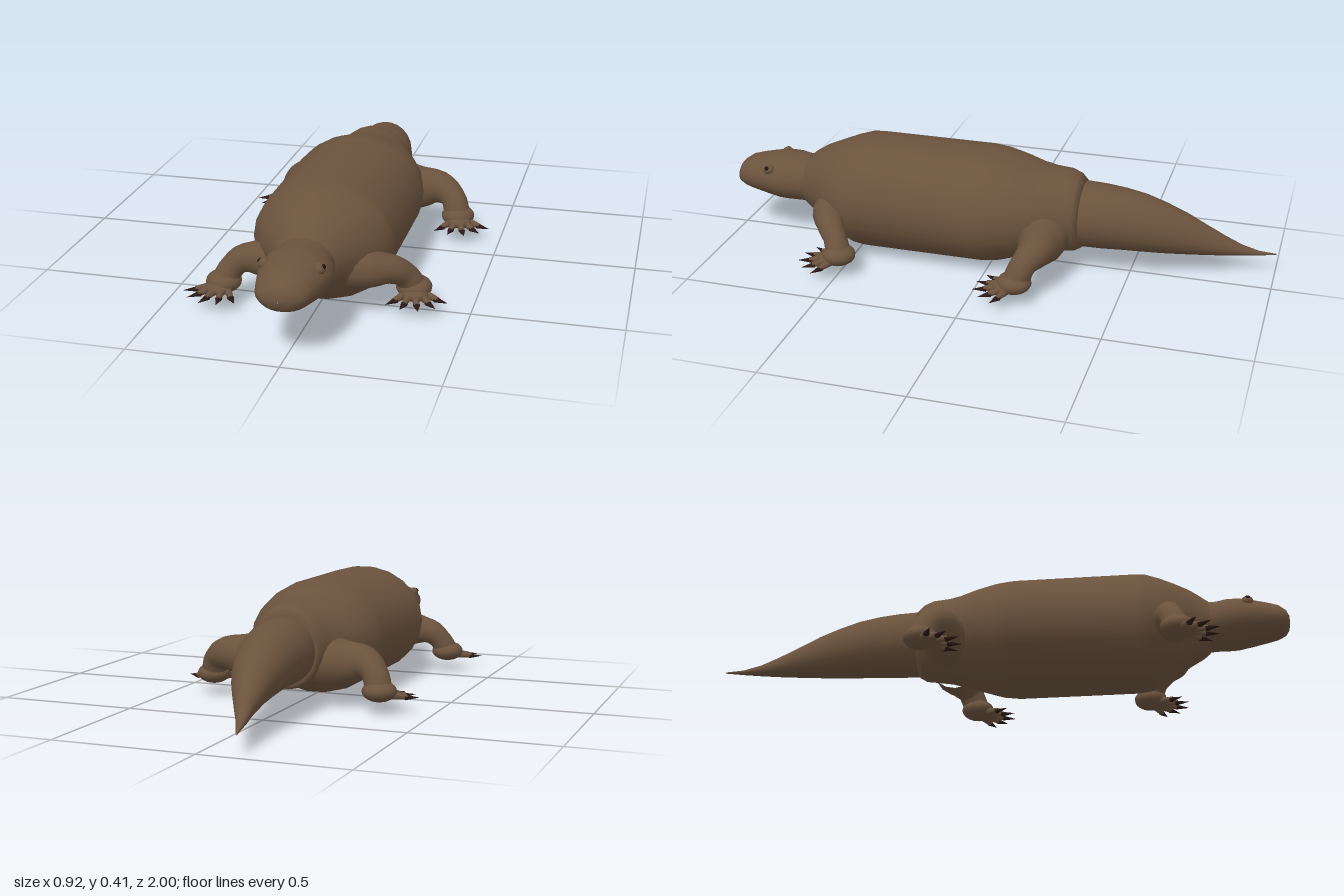
import * as THREE from 'three';
import { mergeVertices } from 'three/addons/utils/BufferGeometryUtils.js';

const mat = (name, color) => {
  const m = new THREE.MeshStandardMaterial({ color });
  m.name = name;
  return m;
};

// Skin through elliptical rings, nose to tail: [z, centre x, bottom y, top y, half width]
function loft(rings, sides = 22) {
  const pos = [], index = [];
  rings.forEach(([z, x, lo, hi, w], i) => {
    for (let j = 0; j < sides; j++) {
      const a = (j / sides) * Math.PI * 2;
      pos.push(x + Math.cos(a) * w, (lo + hi) / 2 + Math.sin(a) * (hi - lo) / 2, z);
      if (i === rings.length - 1) continue;
      const k = (j + 1) % sides;
      const p = i * sides + j, q = i * sides + k;
      index.push(p, p + sides, q, p + sides, q + sides, q);
    }
  });
  const g = new THREE.BufferGeometry();
  g.setAttribute('position', new THREE.Float32BufferAttribute(pos, 3));
  g.setIndex(index);
  g.computeVertexNormals();
  return g;
}

// Tube along a curve whose radius follows the given list
function limbGeometry(points, radii, steps = 16, sides = 16) {
  const curve = new THREE.CatmullRomCurve3(points.map(p => new THREE.Vector3(...p)));
  let g = new THREE.TubeGeometry(curve, steps, 1, sides);
  const pos = g.attributes.position, v = new THREE.Vector3();
  for (let i = 0; i < pos.count; i++) {
    const u = Math.floor(i / (sides + 1)) / steps;
    const c = curve.getPointAt(u);
    const s = u * (radii.length - 1), k = Math.min(Math.floor(s), radii.length - 2);
    const r = THREE.MathUtils.lerp(radii[k], radii[k + 1], s - k);
    v.fromBufferAttribute(pos, i).sub(c).multiplyScalar(r).add(c);
    pos.setXYZ(i, v.x, v.y, v.z);
  }
  g.deleteAttribute('uv');
  g.deleteAttribute('normal');
  g = mergeVertices(g, 1e-5);
  g.computeVertexNormals();
  return g;
}

export function createModel() {
  const root = new THREE.Group();
  const skin = mat('brown skin', 0x6b533d);
  const claw = mat('dark claw', 0x2a1915);
  const pupilMat = mat('dark pupil', 0x1d1410);

  const add = (parent, name, geometry, material, p = [0, 0, 0], s = [1, 1, 1]) => {
    const m = new THREE.Mesh(geometry, material);
    m.name = name;
    m.position.set(...p);
    m.scale.set(...s);
    parent.add(m);
    return m;
  };

  // Head and neck
  add(root, 'head', loft([
    [1.0, 0, 0.215, 0.217, 0.001], [0.996, 0, 0.195, 0.245, 0.04], [0.985, 0, 0.18, 0.262, 0.066],
    [0.96, 0, 0.168, 0.28, 0.085], [0.92, 0, 0.158, 0.292, 0.096], [0.87, 0, 0.148, 0.303, 0.108],
    [0.82, 0, 0.138, 0.312, 0.117], [0.78, 0, 0.136, 0.312, 0.116], [0.74, 0, 0.135, 0.306, 0.106],
    [0.7, 0, 0.13, 0.31, 0.1], [0.65, 0, 0.14, 0.3, 0.09],
  ]), skin);

  // Barrel body with shoulders and hips
  add(root, 'body', loft([
    [0.725, 0, 0.145, 0.295, 0.09], [0.715, 0, 0.125, 0.31, 0.103], [0.69, 0, 0.105, 0.33, 0.115],
    [0.65, 0, 0.085, 0.355, 0.145], [0.6, 0, 0.055, 0.376, 0.185], [0.55, 0, 0.025, 0.396, 0.215],
    [0.5, 0, 0.005, 0.412, 0.235], [0.46, 0, 0, 0.415, 0.24], [0.03, 0, 0, 0.415, 0.24],
    [-0.03, 0, 0.008, 0.408, 0.235], [-0.1, 0, 0.03, 0.39, 0.218], [-0.16, 0, 0.048, 0.373, 0.192],
    [-0.21, 0, 0.06, 0.367, 0.165], [-0.27, 0, 0.066, 0.366, 0.14], [-0.305, 0, 0.07, 0.352, 0.13],
    [-0.325, 0, 0.082, 0.33, 0.118], [-0.328, 0, 0.2, 0.21, 0.005],
  ]), skin);

  // Tail swinging to one side
  add(root, 'tail', loft([
    [-0.25, 0, 0.1, 0.31, 0.1], [-0.33, 0, 0.09, 0.326, 0.118], [-0.4, -0.002, 0.09, 0.322, 0.116],
    [-0.47, -0.008, 0.09, 0.312, 0.108], [-0.54, -0.016, 0.088, 0.295, 0.099],
    [-0.61, -0.026, 0.085, 0.268, 0.086], [-0.68, -0.04, 0.082, 0.234, 0.07],
    [-0.75, -0.058, 0.078, 0.19, 0.052], [-0.82, -0.078, 0.074, 0.146, 0.034],
    [-0.88, -0.098, 0.071, 0.11, 0.021], [-0.94, -0.116, 0.07, 0.086, 0.01],
    [-1.0, -0.135, 0.07, 0.074, 0.002],
  ]), skin);

  // Eyes
  const ball = new THREE.SphereGeometry(1, 18, 12);
  for (const side of [-1, 1]) {
    add(root, 'eye', ball, skin, [side * 0.088, 0.272, 0.85], [0.019, 0.019, 0.022]);
    const pupil = add(root, 'pupil', ball, pupilMat, [side * 0.103, 0.282, 0.853], [0.008, 0.008, 0.003]);
    pupil.lookAt(side * 0.9, 0.8, 1.0);
  }

  // Legs: path from body to foot, radii, heading of the toes (x, z)
  const legs = [
    { name: 'leftFrontLeg', r: [0.075, 0.068, 0.05, 0.042, 0.045], heading: [0.035, 0.12],
      path: [[0.1, 0.17, 0.58], [0.18, 0.165, 0.575], [0.25, 0.155, 0.545], [0.285, 0.125, 0.515], [0.31, 0.075, 0.495]] },
    { name: 'rightFrontLeg', r: [0.075, 0.068, 0.05, 0.042, 0.045], heading: [-0.035, 0.12],
      path: [[-0.1, 0.17, 0.575], [-0.18, 0.165, 0.575], [-0.25, 0.155, 0.575], [-0.285, 0.125, 0.585], [-0.31, 0.075, 0.6]] },
    { name: 'leftHindLeg', r: [0.09, 0.084, 0.064, 0.046, 0.047], heading: [0.04, 0.12],
      path: [[0.09, 0.16, -0.21], [0.18, 0.16, -0.21], [0.26, 0.165, -0.21], [0.315, 0.14, -0.185], [0.34, 0.075, -0.16]] },
    { name: 'rightHindLeg', r: [0.09, 0.084, 0.064, 0.046, 0.047], heading: [-0.04, 0.12],
      path: [[-0.09, 0.16, -0.21], [-0.18, 0.16, -0.21], [-0.255, 0.165, -0.22], [-0.3, 0.14, -0.245], [-0.325, 0.075, -0.265]] },
  ];
  const toeGeo = new THREE.CylinderGeometry(0.009, 0.015, 0.06, 10).rotateX(Math.PI / 2);
  const clawGeo = new THREE.ConeGeometry(0.012, 0.05, 8).rotateX(Math.PI / 2);
  for (const { name, r, heading, path } of legs) {
    const leg = new THREE.Group();
    leg.name = name;
    add(leg, 'limb', limbGeometry(path, r), skin);
    const foot = new THREE.Group();
    foot.name = 'foot';
    const end = path[path.length - 1];
    foot.position.set(end[0], 0, end[2]);
    foot.rotation.y = Math.atan2(heading[0], heading[1]);
    add(foot, 'sole', ball, skin, [0, 0.08, 0], [0.06, 0.037, 0.06]);
    add(foot, 'instep', ball, skin, [0, 0.068, 0.035], [0.045, 0.022, 0.04]);
    // Five splayed toes, each with a claw
    for (let i = -2; i <= 2; i++) {
      const toe = new THREE.Group();
      toe.name = 'toe';
      toe.rotation.y = i * 0.42;
      const reach = 0.09 - Math.abs(i) * 0.005;
      const t = add(toe, 'finger', toeGeo, skin, [0, 0.062, reach - 0.015]);
      t.rotation.x = 0.12;
      add(toe, 'claw', clawGeo, claw, [0, 0.057, reach + 0.032], [1, 0.8, 1]);
      foot.add(toe);
    }
    leg.add(foot);
    root.add(leg);
  }
  return root;
}
